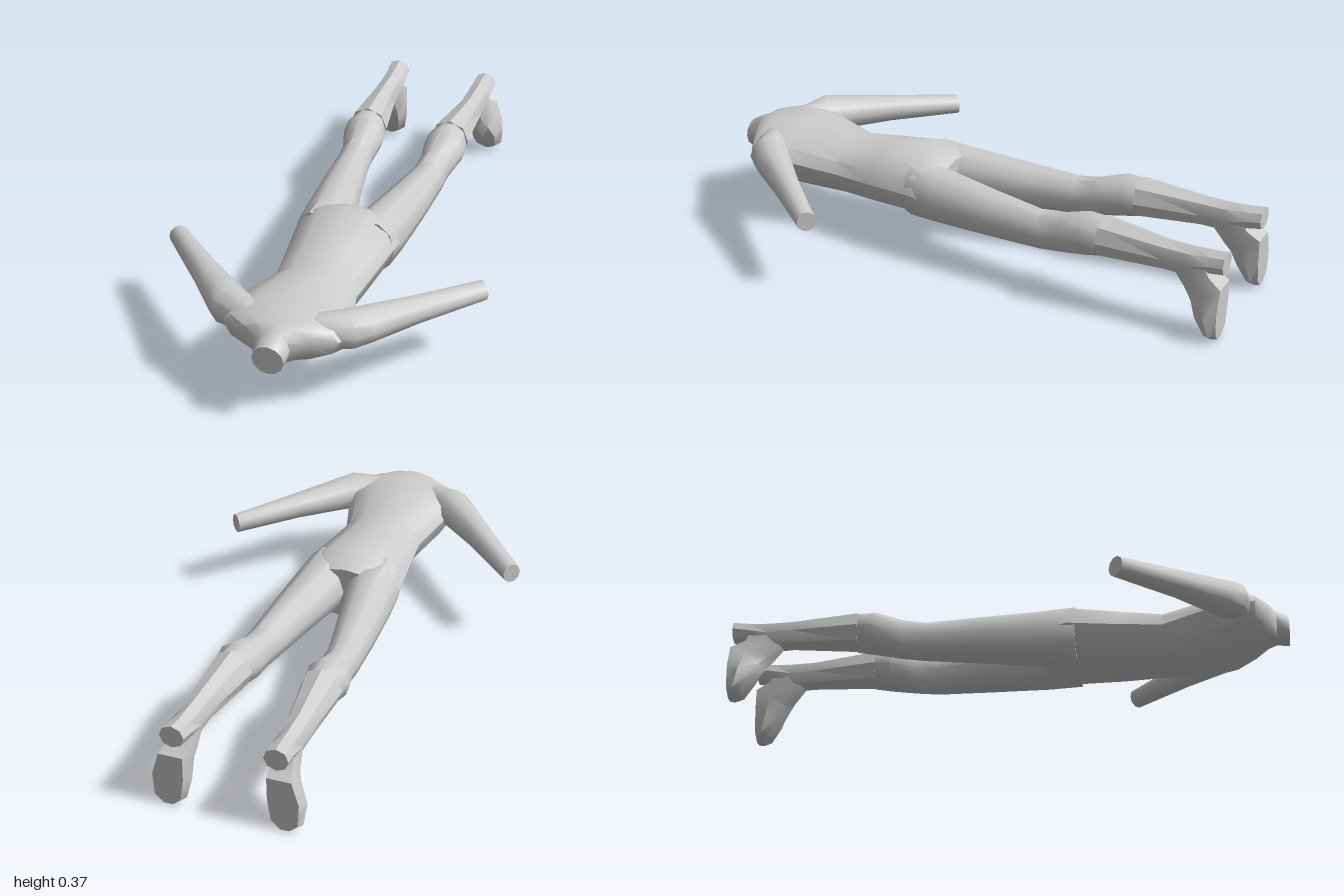
import * as THREE from 'three';
import { toCreasedNormals } from 'three/addons/utils/BufferGeometryUtils.js';

const material = new THREE.MeshStandardMaterial({ color: 0xcccccc });
const V = (x, y, z) => new THREE.Vector3(x, y, z);

// Skin a list of equal-length point rings and cap both ends.
function loft(name, rings, mirror = false, crease = 0.7) {
  if (mirror) rings = rings.map(r => r.map(p => V(-p.x, p.y, p.z)).reverse());
  const n = rings[0].length, points = rings.flat(), index = [];
  for (let i = 0; i < rings.length - 1; i++) {
    for (let j = 0; j < n; j++) {
      const a = i * n + j, b = i * n + (j + 1) % n;
      index.push(a, b, b + n, a, b + n, a + n);
    }
  }
  const last = (rings.length - 1) * n;
  for (let j = 1; j < n - 1; j++) {
    index.push(0, j + 1, j, last, last + j, last + j + 1);
  }
  const geometry = new THREE.BufferGeometry().setFromPoints(points);
  geometry.setIndex(index);
  const mesh = new THREE.Mesh(toCreasedNormals(geometry, crease), material);
  mesh.name = name;
  return mesh;
}

// Upright oval at depth z; k is the height of its widest point (0 to 1).
function oval([z, x0, x1, y0, y1, k = 0.5], sides) {
  const cx = (x0 + x1) / 2, rx = (x1 - x0) / 2, cy = y0 + k * (y1 - y0);
  return Array.from({ length: sides }, (_, j) => {
    const t = j / sides * Math.PI * 2, s = -Math.sin(t);
    return V(cx + rx * Math.cos(t), cy + s * (s > 0 ? y1 - cy : cy - y0), z);
  });
}

// Oval across the arm, which runs outwards and backwards.
function armRing([x, y, z, r, ry]) {
  return Array.from({ length: 10 }, (_, j) => {
    const t = j / 10 * Math.PI * 2, u = -Math.SQRT1_2 * r * Math.cos(t);
    return V(x + u, y + ry * Math.sin(t), z + u);
  });
}

// D-shaped foot section: rounded instep, flat sole.
const footShape = [[1, -0.1], [0.65, 0.7], [0, 1], [-0.65, 0.7], [-1, -0.1], [-0.8, -1], [0.8, -1]];
function footRing([cx, w, frontZ, frontY, soleZ, soleY]) {
  return footShape.map(([u, v]) => {
    const t = (v + 1) / 2;
    return V(cx + w * u, soleY + (frontY - soleY) * t, soleZ + (frontZ - soleZ) * t);
  });
}

export function createModel() {
  const model = new THREE.Group();
  model.name = 'proneFigure';

  // Torso, from the neck stump to the hips
  const torso = [
    [1, 0.055, 0.2, 0.305, 0.52], [0.955, 0.06, 0.205, 0.33, 0.55],
    [0.925, 0.12, 0.205, 0.345, 0.6], [0.88, 0.2, 0.185, 0.35, 0.6],
    [0.81, 0.22, 0.145, 0.357, 0.62], [0.73, 0.2, 0.12, 0.358, 0.62],
    [0.55, 0.15, 0.113, 0.325, 0.58], [0.4, 0.167, 0.11, 0.343, 0.55],
    [0.21, 0.19, 0.113, 0.366, 0.52], [0.125, 0.188, 0.125, 0.325, 0.5],
  ];
  model.add(loft('torso', torso.map(([z, w, ...h]) => oval([z, -w, w, ...h], 12))));

  for (const mirror of [false, true]) {
    const side = new THREE.Group();
    side.name = mirror ? 'rightLimbs' : 'leftLimbs';

    // Arm, ending flat at the wrist
    side.add(loft('arm', [
      [0.1, 0.285, 0.84, 0.06, 0.06], [0.2, 0.287, 0.8, 0.072, 0.07],
      [0.25, 0.284, 0.75, 0.067, 0.064], [0.375, 0.278, 0.615, 0.049, 0.05],
      [0.555, 0.265, 0.415, 0.035, 0.037],
    ].map(armRing), mirror));

    // Thigh and knee
    side.add(loft('thigh', [
      [0.24, 0.02, 0.185, 0.13, 0.34], [0.12, 0.003, 0.197, 0.126, 0.33],
      [-0.1, 0.048, 0.208, 0.138, 0.308], [-0.3, 0.085, 0.213, 0.148, 0.29],
      [-0.38, 0.092, 0.215, 0.158, 0.303], [-0.48, 0.08, 0.243, 0.178, 0.334],
      [-0.55, 0.098, 0.228, 0.19, 0.333],
    ].map(r => oval(r, 10)), mirror));

    // Boot shaft and heel
    side.add(loft('bootShaft', [
      [-0.54, 0.09, 0.237, 0.188, 0.338], [-0.555, 0.092, 0.236, 0.189, 0.337],
      [-0.78, 0.128, 0.225, 0.202, 0.315], [-0.87, 0.131, 0.224, 0.198, 0.314],
      [-0.95, 0.135, 0.222, 0.23, 0.315], [-1, 0.138, 0.225, 0.238, 0.32],
    ].map(r => oval(r, 8)), mirror));

    // Foot with the toes pointing down
    side.add(loft('foot', [
      [0.177, 0.042, -0.8, 0.22, -0.92, 0.29],
      [0.182, 0.046, -0.855, 0.15, -0.95, 0.23],
      [0.19, 0.054, -0.875, 0.122, -1, 0.2],
      [0.203, 0.069, -0.905, 0.075, -1, 0.115],
      [0.206, 0.058, -0.945, 0.018, -1, 0.035],
      [0.206, 0.02, -0.965, 0, -0.998, 0.004],
    ].map(footRing), mirror));

    model.add(side);
  }
  return model;
}
